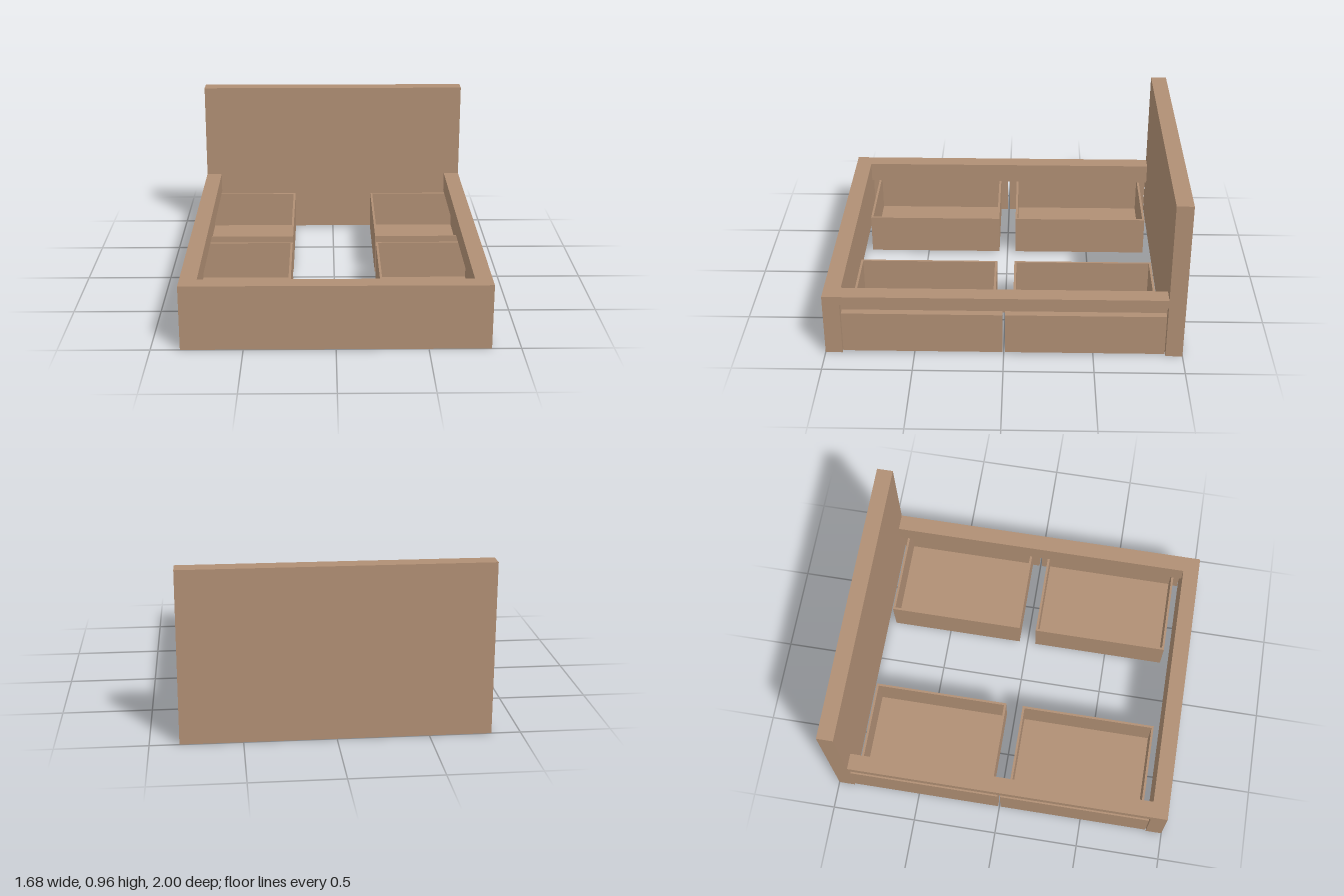
import * as THREE from 'three';

const wood = new THREE.MeshStandardMaterial({ color: 0xb08f74 });

// Box given by its min and max corners
function board(name, [x0, y0, z0], [x1, y1, z1]) {
  const geo = new THREE.BoxGeometry(x1 - x0, y1 - y0, z1 - z0);
  geo.translate((x0 + x1) / 2, (y0 + y1) / 2, (z0 + z1) / 2);
  const mesh = new THREE.Mesh(geo, wood);
  mesh.name = name;
  return mesh;
}

const W = 0.84;      // half width of the bed
const IN = 0.745;    // inner face of the side rails
const END = 0.905;   // inner face of headboard and footboard
const RAIL_TOP = 0.37;

// L-shaped rail: a top flange over the drawer fronts and a deeper inner part
function sideRail(side) {
  const shape = new THREE.Shape();
  [[IN, 0.25], [0.795, 0.25], [0.795, 0.32], [W, 0.32], [W, RAIL_TOP], [IN, RAIL_TOP]]
    .forEach(([x, y], i) => (i ? shape.lineTo(side * x, y) : shape.moveTo(side * x, y)));
  const geo = new THREE.ExtrudeGeometry(shape, { depth: 2 * END, bevelEnabled: false });
  geo.translate(0, 0, -END);
  const mesh = new THREE.Mesh(geo, wood);
  mesh.name = side > 0 ? 'leftSideRail' : 'rightSideRail';
  return mesh;
}

// Open-topped drawer, centred on z = 0, opening towards +x
function drawer() {
  const g = new THREE.Group();
  const x0 = 0.25, x1 = 0.795, y0 = 0.012, y1 = 0.248, hz = 0.403, t = 0.013;
  g.add(
    board('drawerFront', [x1, y0, -0.446], [0.836, 0.26, 0.446]),
    board('drawerBottom', [x0, y0, -hz], [x1, y0 + t, hz]),
    board('drawerBack', [x0, y0 + t, -hz], [x0 + t, y1, hz]),
    board('drawerSide', [x0 + t, y0 + t, hz - t], [x1, y1, hz]),
    board('drawerSide', [x0 + t, y0 + t, -hz], [x1, y1, -hz + t]),
  );
  return g;
}

export function createModel() {
  const bed = new THREE.Group();
  bed.name = 'storageBed';

  bed.add(
    board('headboard', [-W, 0, -1], [W, 0.96, -END]),
    board('footboard', [-W, 0, END], [W, RAIL_TOP, 1]),
  );

  // Rails and two drawers on each side
  for (const side of [1, -1]) {
    bed.add(sideRail(side));
    for (const end of [1, -1]) {
      const d = drawer();
      d.name = `${end > 0 ? 'front' : 'rear'}${side > 0 ? 'Left' : 'Right'}Drawer`;
      d.rotation.y = side > 0 ? 0 : Math.PI;
      d.position.z = end * 0.4535;
      bed.add(d);
    }
  }
  return bed;
}
